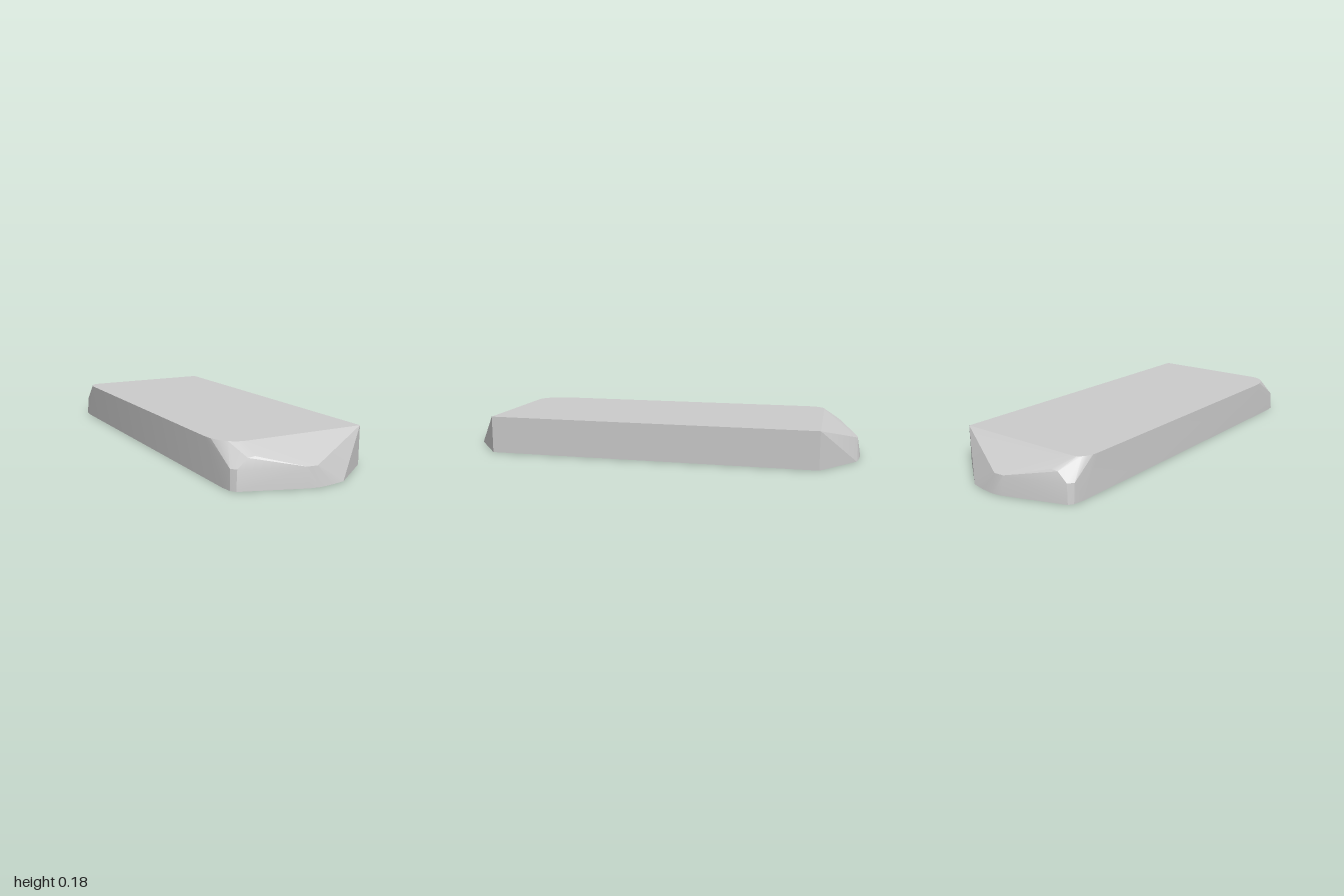
import * as THREE from 'three';
import { ConvexGeometry } from 'three/addons/geometries/ConvexGeometry.js';
import { toCreasedNormals } from 'three/addons/utils/BufferGeometryUtils.js';

const TOP = 0.183;
const MID = 0.09;

// Outline of one end as [x, y, z], from the square corner to the rounded one
const endPoints = [
  // foot of the end
  [0.356, 0, 0.81], [0.135, 0, 0.98], [0.07, 0, 0.993], [0, 0, 1], [-0.05, 0, 0.992],
  [-0.335, 0, 0.892], [-0.35, 0, 0.87], [-0.357, 0, 0.82],
  // nose ridge halfway up
  [-0.005, MID, 0.985], [-0.055, MID, 0.982], [-0.327, MID, 0.885], [-0.347, MID, 0.86],
  [-0.25, 0.138, 0.893], [-0.28, 0.133, 0.888],
  // rim of the top
  [0.356, TOP, 0.81], [-0.25, TOP, 0.813],
];

// Rounded top corner; the front one is drawn out longer than the back one
const topCorner = (depth, width) => Array.from({ length: 6 }, (_, i) => {
  const a = (i / 5) * Math.PI / 2;
  return [-0.357 + width * (1 - Math.sin(a)), TOP, 0.813 - depth * (1 - Math.cos(a))];
});

export function createModel() {
  const group = new THREE.Group();
  group.name = 'bevelledSlab';

  const front = [...endPoints, ...topCorner(0.15, 0.107)];
  const back = [...endPoints, ...topCorner(0.09, 0.06)];
  const points = [
    ...front.map(([x, y, z]) => new THREE.Vector3(x, y, z)),
    ...back.map(([x, y, z]) => new THREE.Vector3(x, y, -z)),
  ];

  // One solid hull, with soft shading only across the shallow facets
  const body = new THREE.Mesh(
    toCreasedNormals(new ConvexGeometry(points), 0.3),
    new THREE.MeshStandardMaterial({ color: 0xcccccc }),
  );
  body.name = 'slabBody';
  group.add(body);
  return group;
}
